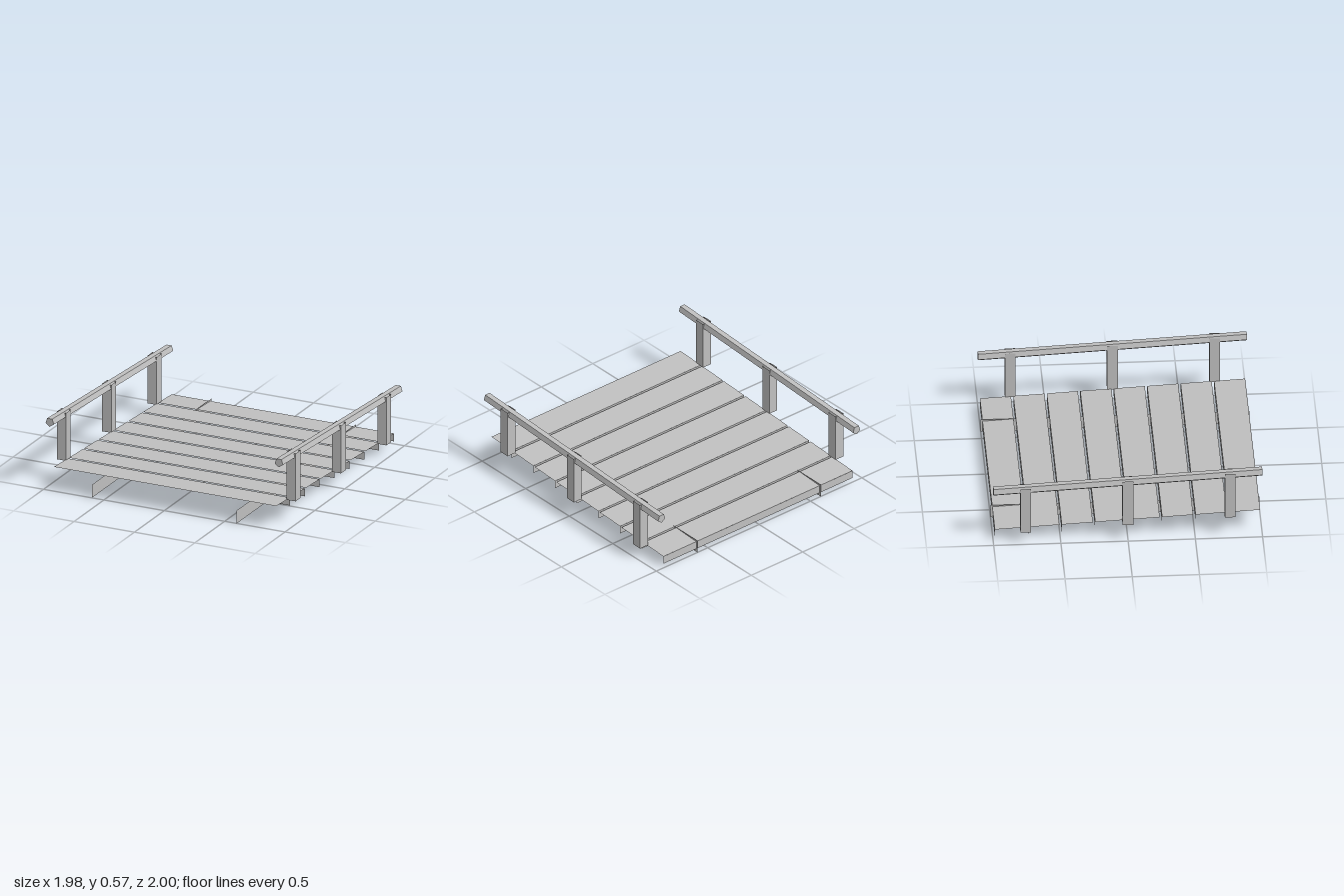
import * as THREE from 'three';

export function createModel() {
  const root = new THREE.Group();
  const grey = new THREE.MeshStandardMaterial({ color: 0xc0c0c0, side: THREE.DoubleSide, flatShading: true });
  grey.name = 'weathered grey';
  const SLOPE = 0.05; // the deck and rails fall by this much per unit towards the back

  function add(name, geometry, x, y, z, parent = root) {
    const mesh = new THREE.Mesh(geometry, grey);
    mesh.name = name;
    mesh.position.set(x, y, z);
    parent.add(mesh);
    return mesh;
  }

  // Deck planks: a thin sloping top sheet with a lip hanging from its back edge
  const pitch = 0.2488, depth = 0.231, lip = 0.063, width = 1.84;
  const tilt = Math.atan(SLOPE);
  const topGeo = new THREE.PlaneGeometry(width, depth).rotateX(-Math.PI / 2).rotateX(-tilt);
  const lipGeo = new THREE.PlaneGeometry(width, lip).rotateY(Math.PI);
  for (let i = 0; i < 8; i++) {
    const z = (i - 3.5) * pitch;
    const plank = new THREE.Group();
    plank.name = 'plank';
    plank.position.set(0, 0.138 + SLOPE * z, z);
    root.add(plank);
    add('plankTop', topGeo, 0, 0, 0, plank);
    add('plankLip', lipGeo, 0, -SLOPE * depth / 2 - lip / 2, -depth / 2, plank);
  }

  // Open square post: a four-sided tube without ends
  const postGeo = new THREE.CylinderGeometry(Math.SQRT1_2, Math.SQRT1_2, 1, 4, 1, true)
    .rotateY(Math.PI / 4).scale(0.075, 0.379, 0.08);

  // Five-sided handrail lying along z with one ridge pointing down, sheared to follow the slope
  const railGeo = new THREE.CylinderGeometry(0.036, 0.036, 2, 5).rotateX(Math.PI / 2);
  const p = railGeo.attributes.position;
  let lowest = Infinity;
  for (let i = 0; i < p.count; i++) lowest = Math.min(lowest, p.getY(i));
  if (lowest > -0.0355) railGeo.rotateZ(Math.PI);
  for (let i = 0; i < p.count; i++) p.setY(i, p.getY(i) + SLOPE * p.getZ(i));
  railGeo.computeVertexNormals();

  // Sheet joists, posts and handrails on both sides
  const joistGeo = new THREE.PlaneGeometry(2, 0.103).rotateY(Math.PI / 2);
  for (const side of [-1, 1]) {
    add('joist', joistGeo, side * 0.6, 0.0515, 0);
    add('handrail', railGeo, side * 0.949, 0.491, 0);
    for (const z of [-0.76, 0, 0.76]) add('post', postGeo, side * 0.951, 0.324 + SLOPE * z, z);
  }
  return root;
}
